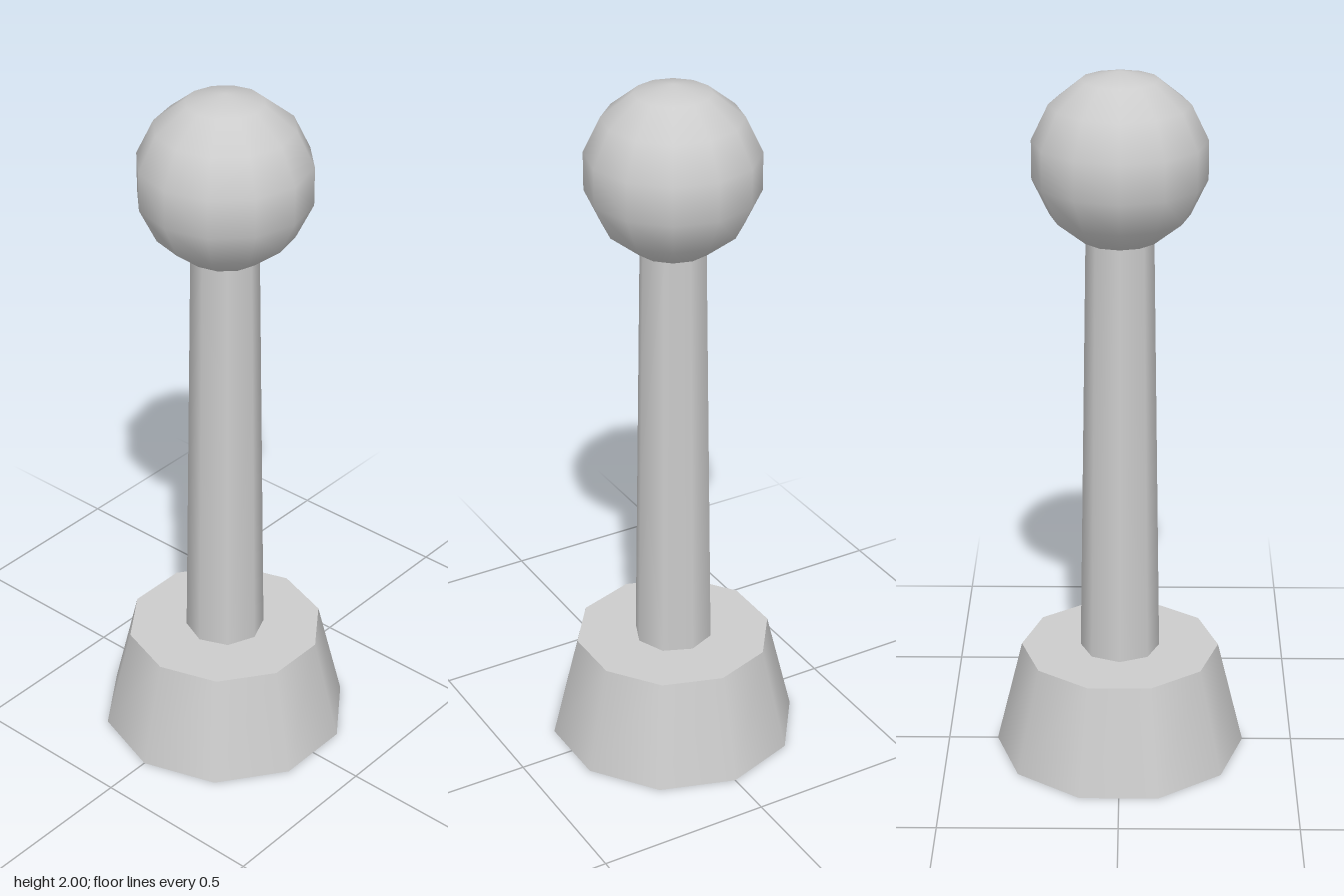
import * as THREE from 'three';

export function createModel() {
  const model = new THREE.Group();
  const grey = new THREE.MeshStandardMaterial({ color: 0xcccccc });
  grey.name = 'light grey';

  const add = (name, geometry, y) => {
    const mesh = new THREE.Mesh(geometry, grey);
    mesh.name = name;
    mesh.position.y = y;
    model.add(mesh);
  };

  // Ten-sided tapered foot
  const baseHeight = 0.31;
  add('base', new THREE.CylinderGeometry(0.283, 0.358, baseHeight, 10), baseHeight / 2);

  // Slim tapered post, its top tucked into the ball
  const stemTop = 1.54;
  const stemHeight = stemTop - baseHeight;
  add('stem', new THREE.CylinderGeometry(0.093, 0.113, stemHeight, 8), baseHeight + stemHeight / 2);

  // Low-poly ball with smooth normals
  const radius = 0.243;
  add('ball', new THREE.SphereGeometry(radius, 12, 7), 2 - radius);

  return model;
}
